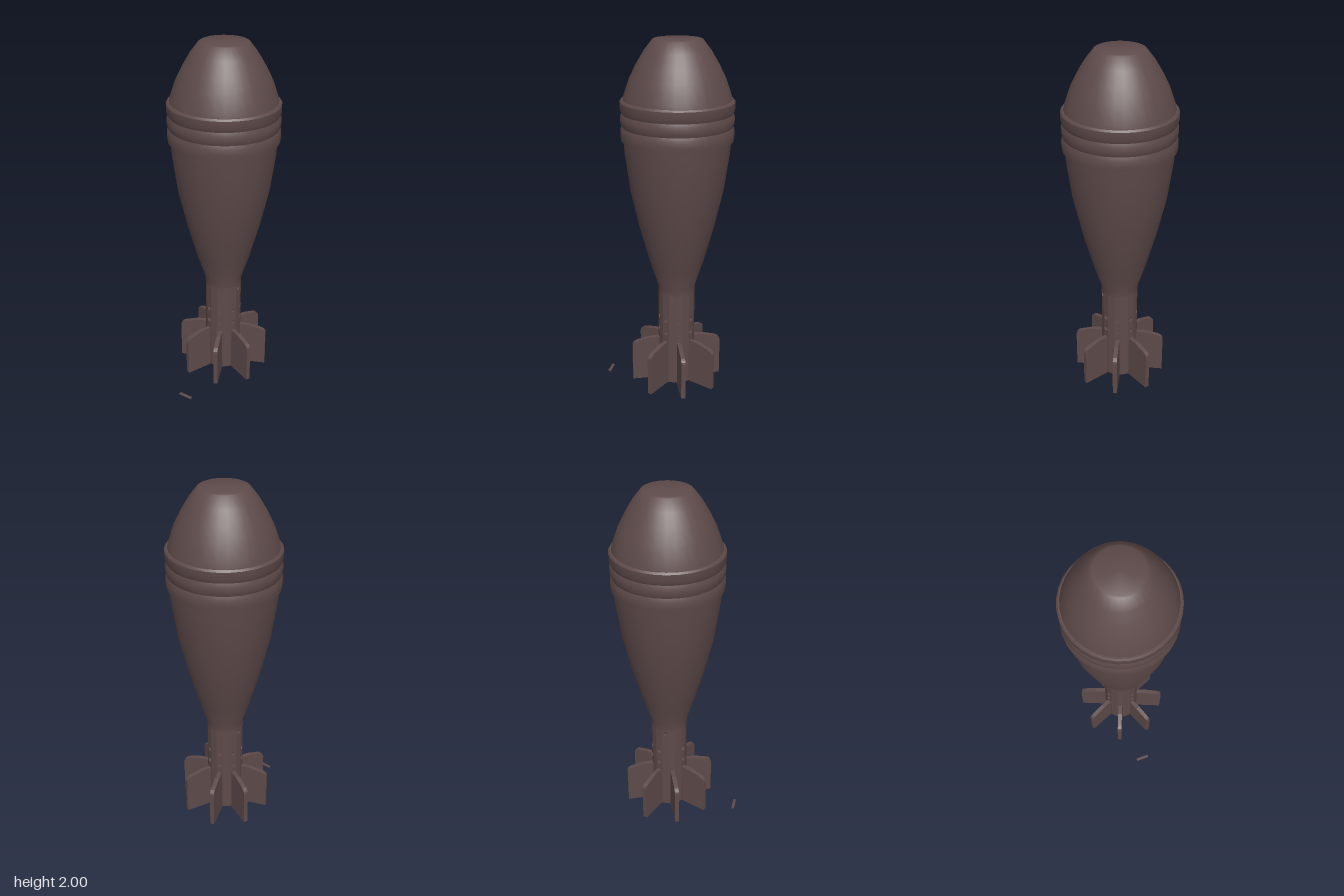
import * as THREE from 'three';
import { toCreasedNormals } from 'three/addons/utils/BufferGeometryUtils.js';

const iron = new THREE.MeshStandardMaterial({ color: 0x5e4a4a });
iron.name = 'dark brown iron';

function part(name, geometry, parent) {
  const mesh = new THREE.Mesh(geometry, iron);
  mesh.name = name;
  parent.add(mesh);
  return mesh;
}

function lathe(points, segments) {
  const profile = points.map(([r, y]) => new THREE.Vector2(r, y));
  return toCreasedNormals(new THREE.LatheGeometry(profile, segments), 0.55);
}

export function createModel() {
  const model = new THREE.Group();
  model.name = 'finnedShell';
  const shell = new THREE.Group();
  shell.name = 'shell';
  shell.position.z = -0.057;
  model.add(shell);

  // Tapered body
  part('body', lathe([
    [0, 0.59], [0.104, 0.59], [0.107, 0.63], [0.152, 0.77], [0.208, 0.98],
    [0.255, 1.19], [0.283, 1.4], [0.29, 1.49],
  ], 32), shell);

  // Ribbed band around the widest part
  part('ribbedBand', lathe([
    [0.286, 1.475], [0.301, 1.475], [0.304, 1.5], [0.303, 1.53], [0.296, 1.55],
    [0.303, 1.57], [0.303, 1.6], [0.296, 1.62], [0.304, 1.64], [0.304, 1.68],
    [0.296, 1.69], [0.28, 1.69],
  ], 32), shell);

  // Rounded nose with a flat tip
  part('nose', lathe([
    [0.292, 1.67], [0.284, 1.71], [0.252, 1.8], [0.217, 1.87],
    [0.175, 1.94], [0.132, 1.995], [0.122, 2], [0, 2],
  ], 32), shell);

  // Hollow tail tube: sixteen wall plates, drilled with vent holes
  const tube = new THREE.Group();
  tube.name = 'tailTube';
  shell.add(tube);
  const sides = 16, apothem = 0.102, wall = 0.012;
  const half = apothem * Math.tan(Math.PI / sides);
  for (let i = 0; i < sides; i++) {
    const shape = new THREE.Shape([
      new THREE.Vector2(-half, 0.025), new THREE.Vector2(half, 0.025),
      new THREE.Vector2(half, 0.6), new THREE.Vector2(-half, 0.6),
    ]);
    const heights = i % 2 ? [0.345, 0.425] : (i % 8 === 4 ? [0.565] : []);
    for (const y of heights) {
      const hole = new THREE.Path();
      hole.absarc(0, y, 0.014, 0, Math.PI * 2, true);
      shape.holes.push(hole);
    }
    const plate = new THREE.ExtrudeGeometry(shape, { depth: wall, bevelEnabled: false, curveSegments: 4 });
    plate.translate(0, 0, apothem - wall);
    part('tubeWall', plate, tube).rotation.y = (i / sides) * Math.PI * 2;
  }
  part('tubeBase', new THREE.CylinderGeometry(0.1, 0.1, 0.02, sides), tube).position.y = 0.035;

  // Eight stabilising fins with rounded upper corners
  const outline = new THREE.Shape();
  outline.moveTo(0.085, 0.02);
  outline.lineTo(0.26, 0.02);
  outline.lineTo(0.26, 0.24);
  outline.quadraticCurveTo(0.258, 0.265, 0.225, 0.272);
  outline.lineTo(0.16, 0.288);
  outline.lineTo(0.085, 0.29);
  outline.closePath();
  const fin = new THREE.ExtrudeGeometry(outline, { depth: 0.024, bevelEnabled: false, curveSegments: 4 });
  fin.translate(0, 0, -0.012);
  for (let i = 0; i < 8; i++) {
    part('fin', fin, shell).rotation.y = ((i + 0.5) / 8) * Math.PI * 2;
  }

  // Small loose plate lying in front
  part('loosePlate', new THREE.BoxGeometry(0.078, 0.006, 0.016), model).position.set(0, 0.003, 0.352);

  return model;
}
